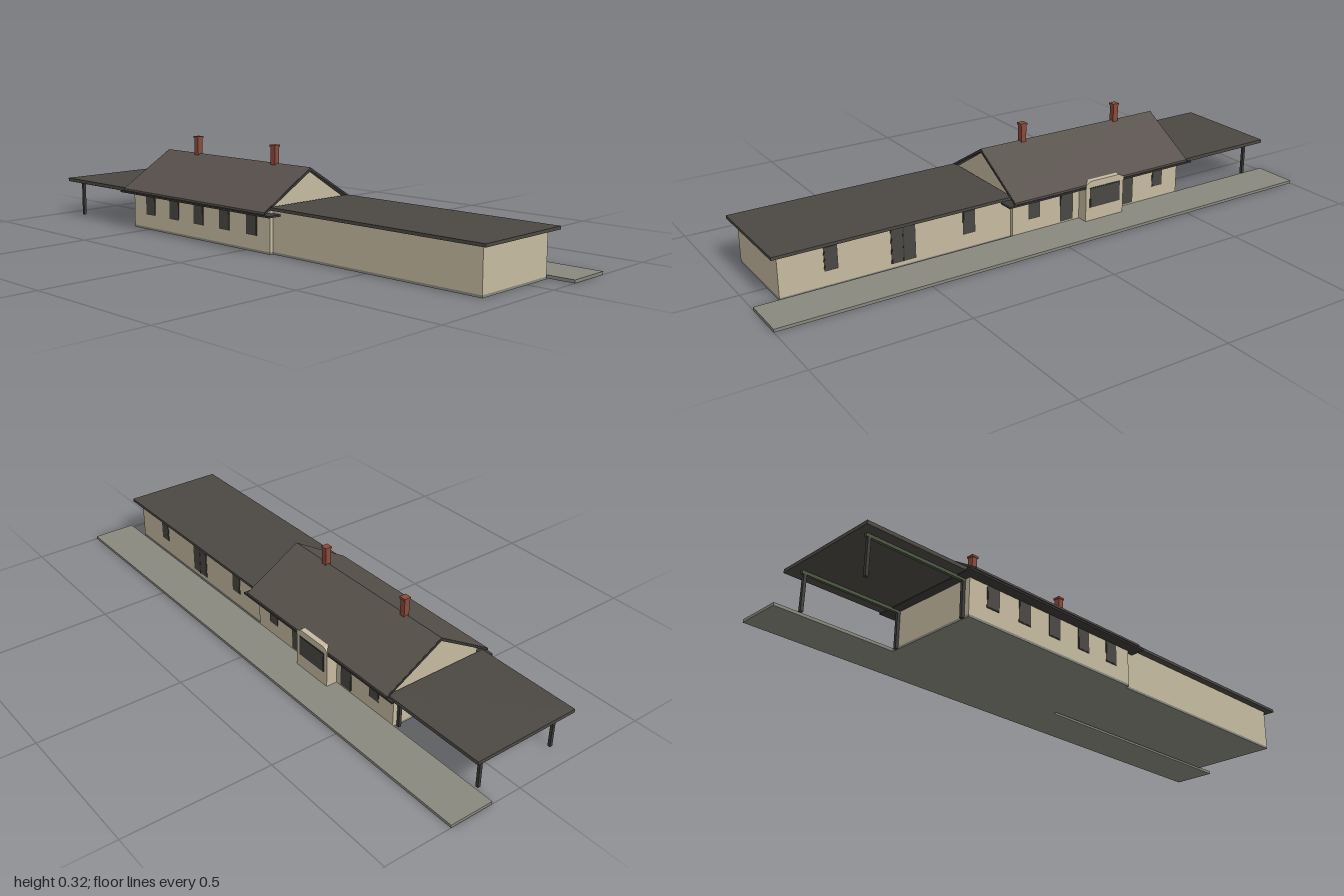
import * as THREE from 'three';

const mat = (name, color) => {
  const m = new THREE.MeshStandardMaterial({ color });
  m.name = name;
  return m;
};

export function createModel() {
  const wall = mat('cream wall', 0xc6bba1);
  const gableRoof = mat('gable roof shingle', 0x57504b);
  const flatRoof = mat('flat roof', 0x4c4843);
  const trim = mat('dark trim', 0x3b3a37);
  const glass = mat('dark glass', 0x4a4743);
  const brick = mat('brick', 0x8a4a3a);
  const concrete = mat('concrete', 0x89887f);
  const beamGreen = mat('green beam', 0x4a5640);

  const model = new THREE.Group();
  model.name = 'stationBuilding';

  const add = (name, geometry, material) => {
    const mesh = new THREE.Mesh(geometry, material);
    mesh.name = name;
    model.add(mesh);
    return mesh;
  };
  // Box given by its extents
  const box = (name, material, x0, x1, y0, y1, z0, z1) => add(name,
    new THREE.BoxGeometry(x1 - x0, y1 - y0, z1 - z0)
      .translate((x0 + x1) / 2, (y0 + y1) / 2, (z0 + z1) / 2), material);
  // Prism with a (z, y) profile, running along x
  const prismX = (name, material, x0, x1, points) => {
    const shape = new THREE.Shape(points.map(p => new THREE.Vector2(...p)));
    const g = new THREE.ExtrudeGeometry(shape, { depth: x1 - x0, bevelEnabled: false });
    add(name, g.rotateY(-Math.PI / 2).translate(x1, 0, 0), material);
  };

  // Platform and foundations
  box('platform', concrete, -1, 1, 0, 0.01, -0.265, -0.11);
  box('mainFoundation', concrete, -0.58, 0.115, 0, 0.008, -0.11, 0.227);
  box('wingFoundation', concrete, 0.115, 0.915, 0, 0.008, -0.098, 0.214);

  // Main house walls with gable ends
  prismX('mainWalls', wall, -0.58, 0.115, [
    [-0.11, 0.008], [0.227, 0.008], [0.227, 0.15], [0.0585, 0.254], [-0.11, 0.15],
  ]);
  // Pitched roof and level eaves
  prismX('gableRoof', gableRoof, -0.59, 0.128, [
    [0.265, 0.134], [0.265, 0.141], [0.0585, 0.264], [-0.148, 0.141], [-0.148, 0.134], [0.0585, 0.254],
  ]);
  box('eaves', trim, -0.613, 0.15, 0.126, 0.132, -0.148, 0.265);
  // Dark edging on both gable ends
  for (const x of [-0.592, 0.127]) {
    prismX('bargeboard', trim, x, x + 0.003, [
      [0.265, 0.133], [0.265, 0.14], [0.0585, 0.263], [-0.148, 0.14], [-0.148, 0.133], [0.0585, 0.253],
    ]);
  }

  // Long wing
  box('wingWalls', wall, 0.115, 0.915, 0.008, 0.145, -0.098, 0.214);
  box('wingRoof', flatRoof, 0.125, 0.94, 0.145, 0.155, -0.124, 0.239);

  // Open canopy on posts
  box('canopyRoof', flatRoof, -0.962, -0.585, 0.128, 0.14, -0.14, 0.247);
  for (const z of [-0.09, 0.205]) {
    box('canopyBeam', beamGreen, -0.935, -0.58, 0.118, 0.128, z - 0.005, z + 0.005);
    for (const x of [-0.924, -0.586]) {
      box('canopyPost', trim, x - 0.005, x + 0.005, 0, 0.12, z - 0.005, z + 0.005);
    }
  }

  // Chimneys with caps
  for (const x of [-0.424, -0.035]) {
    box('chimney', brick, x - 0.01, x + 0.01, 0.235, 0.318, 0.049, 0.069);
    box('chimneyCap', brick, x - 0.0125, x + 0.0125, 0.317, 0.324, 0.0465, 0.0715);
  }

  // Bay on the platform side, with sloping shoulders at the top
  const bay = new THREE.Shape([
    [-0.308, 0.008], [-0.152, 0.008], [-0.152, 0.14], [-0.17, 0.151], [-0.29, 0.151], [-0.308, 0.14],
  ].map(p => new THREE.Vector2(...p)));
  add('bay', new THREE.ExtrudeGeometry(bay, { depth: 0.05, bevelEnabled: false })
    .translate(0, 0, -0.1495), wall);

  // Glazing: thin frame plate with a pane and a glazing bar, on a given wall face
  const opening = (name, x, w, y0, y1, z, side) => {
    const layer = (part, m, hw, a, b, d) => {
      const zs = [z, z + side * d].sort((p, q) => p - q);
      box(name + part, m, x - hw, x + hw, a, b, zs[0], zs[1]);
    };
    layer('Frame', trim, w / 2, y0, y1, 0.0015);
    layer('Pane', glass, w / 2 - 0.003, y0 + 0.003, y1 - 0.003, 0.0025);
  };
  for (const x of [-0.487, -0.358, -0.23, -0.1, 0.03]) {
    opening('frontWindow', x, 0.05, 0.053, 0.126, 0.227, 1);
  }
  for (const x of [-0.49, 0.03]) opening('backWindow', x, 0.045, 0.053, 0.126, -0.11, -1);
  for (const x of [-0.356, -0.1]) opening('backDoor', x, 0.052, 0.015, 0.126, -0.11, -1);
  opening('bayWindow', -0.23, 0.125, 0.057, 0.128, -0.1495, -1);
  for (const x of [0.272, 0.748]) opening('wingWindow', x, 0.045, 0.055, 0.135, -0.098, -1);
  opening('wingDoor', 0.507, 0.085, 0.02, 0.138, -0.098, -1);
  box('wingDoorBar', trim, 0.505, 0.509, 0.02, 0.138, -0.1012, -0.098);

  return model;
}
